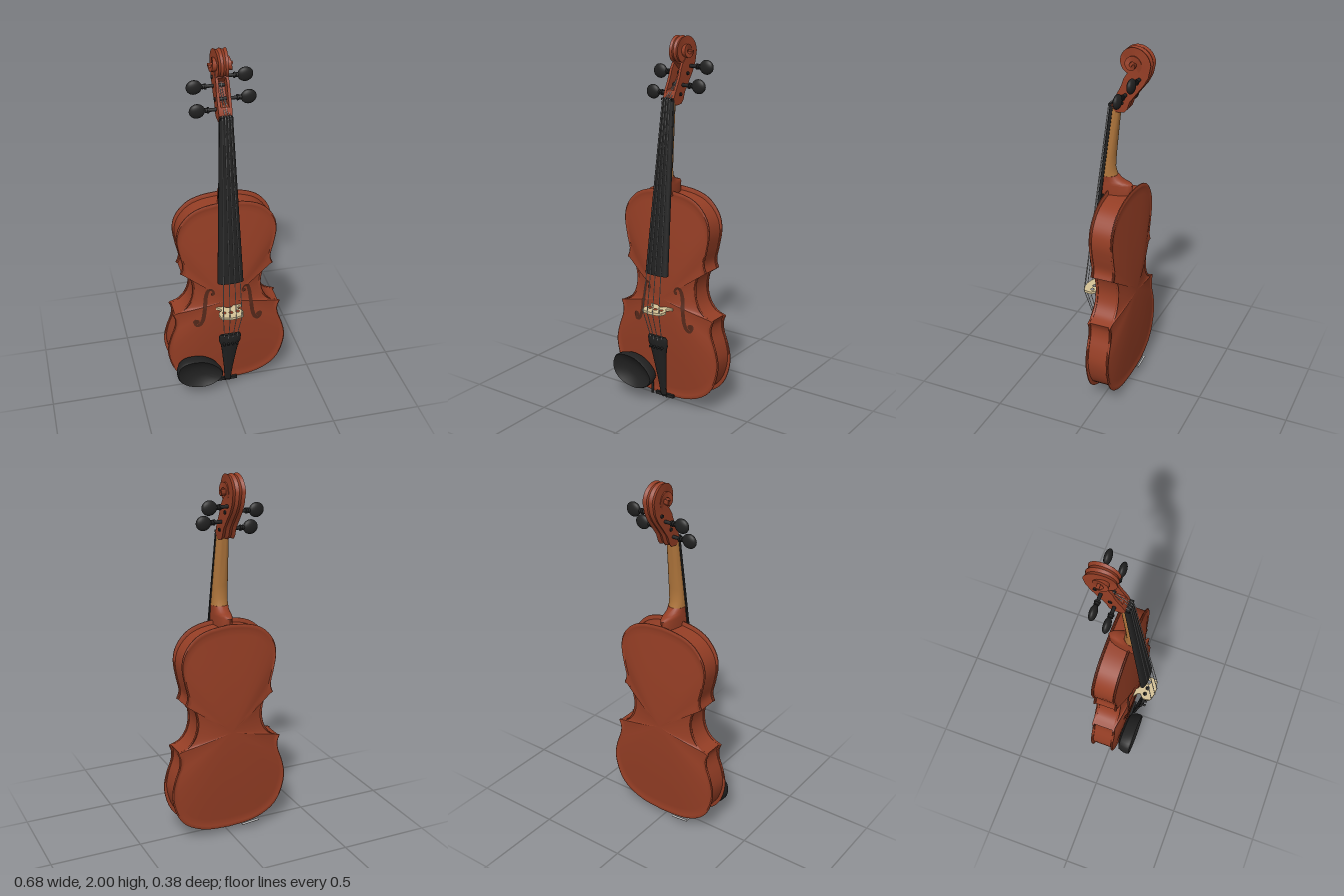
import * as THREE from 'three';
import { toCreasedNormals } from 'three/addons/utils/BufferGeometryUtils.js';

const V2 = (x, y) => new THREE.Vector2(x, y);
const V3 = (x, y, z) => new THREE.Vector3(x, y, z);
const mat = (name, color, side = THREE.FrontSide) => {
  const m = new THREE.MeshStandardMaterial({ color, side });
  m.name = name;
  return m;
};

export function createModel() {
  const root = new THREE.Group();
  root.name = 'violin';
  const varnish = mat('red brown varnish', 0x953e25);
  const maple = mat('plain maple', 0xb0763c);
  const ebony = mat('ebony', 0x212121);
  const pale = mat('pale bridge wood', 0xd6c397);
  const steel = mat('steel', 0xb9b9b9);
  const dark = mat('sound hole brown', 0x54281a, THREE.DoubleSide);

  const add = (name, geo, m, parent = root) => {
    const mesh = new THREE.Mesh(geo, m);
    mesh.name = name;
    parent.add(mesh);
    return mesh;
  };

  // Skin a row of equal-length loops, cap both ends, and face it outward
  function loft(loops, crease = 0.7) {
    const n = loops[0].length, pts = loops.flat(), tri = [];
    loops.slice(1).forEach((_, s) => {
      for (let i = 0; i < n; i++) {
        const a = s * n + i, b = s * n + (i + 1) % n;
        tri.push([a, b, b + n], [a, b + n, a + n]);
      }
    });
    const cap = (start, flip) => {
      const c = V3(0, 0, 0);
      for (let i = 0; i < n; i++) c.addScaledVector(pts[start + i], 1 / n);
      const id = pts.push(c) - 1;
      for (let i = 0; i < n; i++) {
        const a = start + i, b = start + (i + 1) % n;
        tri.push(flip ? [id, b, a] : [id, a, b]);
      }
    };
    cap(0, true);
    cap((loops.length - 1) * n, false);
    const mid = loops[0][0];
    let vol = 0;
    for (const [a, b, c] of tri) {
      const p = pts[a].clone().sub(mid), q = pts[b].clone().sub(mid);
      vol += p.dot(q.cross(pts[c].clone().sub(mid)));
    }
    const geo = new THREE.BufferGeometry().setFromPoints(pts);
    geo.setIndex(tri.flatMap(([a, b, c]) => (vol < 0 ? [a, c, b] : [a, b, c])));
    return toCreasedNormals(geo, crease);
  }

  function rod(name, a, b, r, m, parent = root) {
    const d = b.clone().sub(a);
    const mesh = add(name, new THREE.CylinderGeometry(r, r, d.length(), 8), m, parent);
    mesh.position.copy(a).addScaledVector(d, 0.5);
    mesh.quaternion.setFromUnitVectors(V3(0, 1, 0), d.normalize());
    return mesh;
  }

  // Body outline: lower bout, waist and upper bout, meeting in sharp corners
  const bouts = [
    [[0, .035], [.14, .047], [.25, .095], [.31, .17], [.338, .28], [.325, .37], [.297, .45], [.292, .5], [.305, .537]],
    [[.305, .537], [.25, .56], [.21, .61], [.192, .68], [.2, .75], [.222, .792], [.257, .803]],
    [[.257, .803], [.243, .85], [.26, .93], [.273, 1.02], [.255, 1.1], [.195, 1.17], [.11, 1.205], [0, 1.217]],
  ];
  const half = bouts.flatMap((b) =>
    new THREE.SplineCurve(b.map((p) => V2(...p))).getPoints(26).slice(0, -1));
  half.push(V2(0, 1.217));
  const outline = half.concat(half.slice(1, -1).reverse().map((p) => V2(-p.x, p.y)));
  const CY = 0.62;
  const ring = (s, z) => outline.map((p) => V3(p.x * s, CY + (p.y - CY) * s, z));
  const dome = (s, h) => h * Math.pow(Math.max(0, 1 - s * s), 1.2);

  // Arched plates with a raised rounded edge
  function plate(name, z, dir, h) {
    const rows = [[.9, -.006], [.985, -.006], [1, -.002], [1, .003], [.985, .007], [.965, .005]];
    for (const s of [.94, .9, .82, .72, .6, .48, .36, .24, .12, .01]) rows.push([s, dome(s, h)]);
    add(name, loft(rows.map(([s, o]) => ring(s, z + dir * o))), varnish);
  }
  plate('topPlate', .04, 1, .042);
  plate('backPlate', -.08, -1, .033);
  add('ribs', loft([ring(.962, -.078), ring(.962, .038)]), varnish);

  // Height of the arched top at a point
  function topZ(x, y) {
    const dx = x, dy = y - CY;
    for (let i = 0; i < outline.length; i++) {
      const p = outline[i], q = outline[(i + 1) % outline.length];
      const px = p.x, py = p.y - CY, ex = q.x - p.x, ey = q.y - p.y;
      const det = dx * ey - dy * ex;
      const k = (px * ey - py * ex) / det, u = (px * dy - py * dx) / det;
      if (k > 0 && u >= 0 && u <= 1) return .04 + dome(1 / k, .042);
    }
    return .04;
  }

  // Sound holes laid on the top
  const fCurve = new THREE.SplineCurve([[.078, .668], [.088, .692], [.108, .693], [.122, .65], [.13, .58],
    [.14, .51], [.157, .472], [.178, .466], [.19, .49], [.178, .503]].map((p) => V2(...p)));
  for (const side of [1, -1]) {
    const g = new THREE.Group();
    g.name = side > 0 ? 'leftSoundHole' : 'rightSoundHole';
    root.add(g);
    const pos = [], idx = [], N = 40;
    for (let i = 0; i <= N; i++) {
      const p = fCurve.getPoint(i / N), t = fCurve.getTangent(i / N);
      const w = .004 + .007 * Math.sin(Math.PI * i / N);
      for (const k of [-w, w]) {
        const x = p.x - t.y * k, y = p.y + t.x * k;
        pos.push(side * x, y, topZ(x, y) + .004);
      }
      if (i < N) idx.push(2 * i, 2 * i + 1, 2 * i + 2, 2 * i + 1, 2 * i + 3, 2 * i + 2);
    }
    const geo = new THREE.BufferGeometry();
    geo.setAttribute('position', new THREE.Float32BufferAttribute(pos, 3));
    geo.setIndex(side > 0 ? idx.reverse() : idx);
    geo.computeVertexNormals();
    add('slot', geo, dark, g);
    for (const [x, y, r] of [[.086, .668, .011], [.176, .49, .015]])
      add('eye', new THREE.CircleGeometry(r, 20), dark, g).position.set(side * x, y, topZ(x, y) + .005);
  }

  // D-shaped bar along y: rows of [y, half width, flat z, edge z, round z]
  const bar = (rows) => loft(rows.map(([y, w, flat, edge, round]) => {
    const loop = [V3(-w, y, flat), V3(w, y, flat)];
    for (let k = 0; k <= 12; k++) {
      const a = Math.PI * k / 12;
      loop.push(V3(w * Math.cos(a), y, edge + (round - edge) * Math.sin(a)));
    }
    return loop;
  }));
  const boardBack = (y) => .015 + (1.68 - y) * .117;

  add('fingerboard', bar([[.77, .07, .122, .132, .15], [1.685, .035, .014, .028, .037]]), ebony);
  add('nut', new THREE.BoxGeometry(.066, .012, .026), ebony).position.set(0, 1.689, .026);
  const neckRow = ([y, w, back]) => [y, w, boardBack(y) + .001, boardBack(y) - .006, back];
  add('neck', bar([[1.29, .046, .003], [1.33, .044, .016], [1.4, .042, .012], [1.55, .037, -.003],
    [1.67, .033, -.016]].map(neckRow)), maple);
  add('neckHeel', bar([[1.19, .046, -.08], [1.245, .046, -.084], [1.255, .045, -.075], [1.262, .045, -.05],
    [1.272, .045, -.025], [1.293, .0465, .001]].map(neckRow)), varnish);

  // Pegbox and scroll in one sweep: rows of [back z, back y, front z, front y, half width, groove]
  const rows = [[-.002, 1.655, .022, 1.683, .034, 0], [-.048, 1.66, .014, 1.71, .035, 0],
    [-.064, 1.68, .003, 1.735, .036, .05], [-.078, 1.72, -.016, 1.77, .036, .6],
    [-.115, 1.77, -.033, 1.805, .036, .6], [-.15, 1.815, -.042, 1.835, .035, .6],
    [-.174, 1.86, -.06, 1.865, .034, 0]];
  const cz = -.09, cy = 1.92;
  for (let deg = 0; deg <= 740; deg += 10) {
    const r = .096 * Math.exp(-.0019 * deg), a = THREE.MathUtils.degToRad(deg);
    const w = .03 + .005 * Math.cos(Math.min(a, Math.PI)) + .04 * Math.pow(Math.max(0, deg - 150) / 590, 1.1);
    rows.push([cz - r * Math.cos(a), cy + r * Math.sin(a),
      cz - .3 * r * Math.cos(a), cy + .3 * r * Math.sin(a), w, 0]);
  }
  add('pegboxAndScroll', loft(rows.map(([bz, by, fz, fy, w, g]) => {
    const f = Math.min(.12, .008 / Math.hypot(fz - bz, fy - by));
    return [[-1, 0], [-.75, f * .5], [-.5, f], [-.25, f * .5], [0, 0], [.25, f * .5], [.5, f], [.75, f * .5], [1, 0],
      [1, 1], [.6, 1], [.6, 1 - g], [-.6, 1 - g], [-.6, 1], [-1, 1]].map(([x, u]) =>
      V3(x * w, by + (fy - by) * u, bz + (fz - bz) * u));
  }), .6), varnish);

  // Tuning pegs: side, y, z
  const pegs = [[-1, 1.71, -.035], [-1, 1.81, -.1], [1, 1.845, -.127], [1, 1.755, -.055]];
  for (const [side, y, z] of pegs) {
    const g = new THREE.Group();
    g.name = 'tuningPeg';
    g.position.set(0, y, z);
    root.add(g);
    rod('shaft', V3(-side * .042, 0, 0), V3(side * .11, 0, 0), .0095, ebony, g);
    for (const [x, r] of [[.078, .016], [.09, .014]])
      rod('collar', V3(side * (x - .004), 0, 0), V3(side * (x + .004), 0, 0), r, ebony, g);
    const head = add('head', new THREE.SphereGeometry(1, 20, 14), ebony, g);
    head.scale.set(.041, .038, .019);
    head.position.x = side * .135;
  }

  // Bridge, cut from a thin sheet
  const b = new THREE.Shape();
  b.moveTo(-.07, .07);
  b.lineTo(-.07, .085);
  b.quadraticCurveTo(-.045, .095, -.045, .115);
  b.quadraticCurveTo(-.07, .13, -.068, .15);
  b.lineTo(-.062, .177);
  b.quadraticCurveTo(0, .207, .062, .177);
  b.lineTo(.068, .15);
  b.quadraticCurveTo(.07, .13, .045, .115);
  b.quadraticCurveTo(.045, .095, .07, .085);
  b.lineTo(.07, .07);
  b.lineTo(.035, .07);
  b.quadraticCurveTo(0, .125, -.035, .07);
  for (const [x, z, r] of [[0, .143, .011], [-.037, .139, .01], [.037, .139, .01]])
    b.holes.push(new THREE.Path().absarc(x, z, r, 0, Math.PI * 2, true));
  const bridge = new THREE.ExtrudeGeometry(b, { depth: .014, bevelEnabled: false, curveSegments: 10 });
  add('bridge', bridge.rotateX(Math.PI / 2), pale).position.y = .577;

  // Tailpiece, fine tuners, saddle and end button
  add('tailpiece', bar([[.05, .017, .062, .068, .078], [.15, .025, .076, .084, .096], [.28, .041, .098, .106, .12],
    [.345, .051, .108, .116, .132], [.365, .06, .112, .12, .136], [.405, .061, .118, .126, .142],
    [.42, .054, .122, .128, .14]]), ebony);
  add('saddle', new THREE.BoxGeometry(.115, .018, .03), ebony).position.set(0, .042, .045);
  rod('endButton', V3(0, .04, -.012), V3(0, .012, -.012), .012, ebony);
  const knob = add('endButtonKnob', new THREE.SphereGeometry(.019, 16, 12), ebony);
  knob.scale.y = .7;
  knob.position.set(0, .0133, -.012);
  for (const s of [-1, 1]) {
    rod('tailCord', V3(s * .012, .07, .066), V3(s * .012, .03, .056), .004, ebony);
    rod('tailCord', V3(s * .012, .03, .056), V3(s * .008, .025, -.012), .004, ebony);
  }

  // Strings from tailpiece over bridge and nut to the pegs
  pegs.forEach(([, py, pz], i) => {
    const t = (i - 1.5) / 1.5;
    const path = [V3(.034 * t, .395, .138 - .006 * t * t), V3(.052 * t, .57, .194 - .011 * t * t),
      V3(.021 * t, 1.69, .042), V3(.012 * t, py, pz)];
    for (let k = 0; k < 3; k++) rod('string', path[k], path[k + 1], .0022, steel);
    rod('fineTuner', V3(.036 * t, .36, .12), V3(.036 * t, .355, .146), .007, ebony);
  });

  // Chin rest: a dished leaf beside the tailpiece, with its clamp
  const cup = new THREE.LatheGeometry([[0, .052], [.6, .054], [.9, .068], [.99, .1], [1, .125], [.96, .135],
    [.88, .13], [.6, .112], [.3, .104], [0, .101]].map((p) => V2(...p)), 40).rotateX(Math.PI / 2);
  const cp = cup.attributes.position;
  for (let i = 0; i < cp.count; i++) {
    const u = cp.getX(i), v = cp.getY(i);
    cp.setXYZ(i, -.172 + .132 * u, .163 - .018 * u + v * .093 * (1 - .22 * u * Math.abs(u)), cp.getZ(i));
  }
  add('chinRest', toCreasedNormals(cup, .8), ebony);
  for (const [x, y] of [[-.17, .044], [-.08, .034]]) {
    rod('clampRod', V3(x, y, -.09), V3(x, y, .06), .005, steel);
    rod('clampBarrel', V3(x, y, -.045), V3(x, y, .005), .008, steel);
    rod('clampArm', V3(x, y, .06), V3(x, .1, .062), .007, ebony);
  }
  rod('clampFoot', V3(-.175, .046, -.093), V3(-.075, .036, -.093), .006, steel);
  return root;
}
